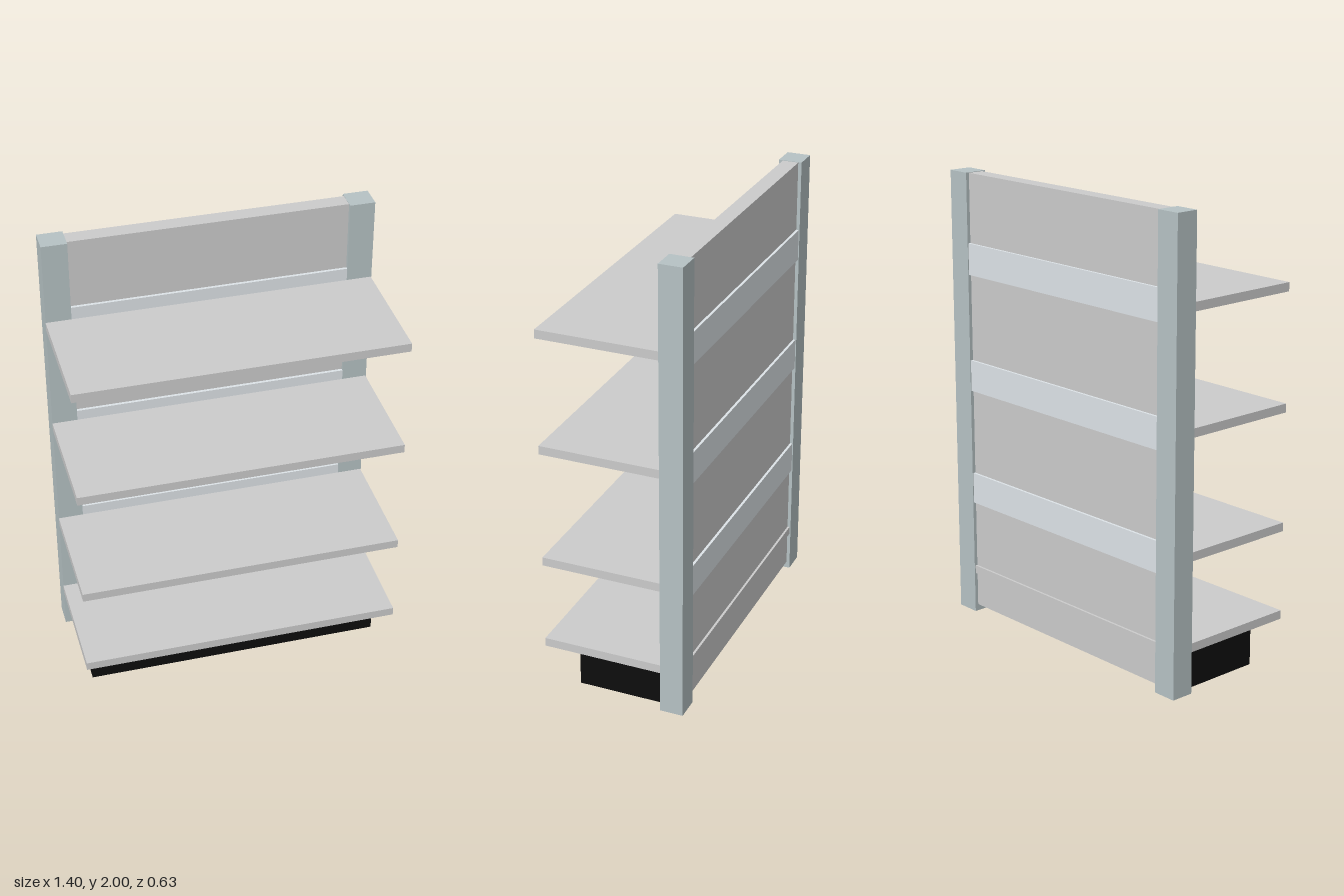
import * as THREE from 'three';

const material = (color) => new THREE.MeshStandardMaterial({ color, flatShading: true });

export function createModel() {
  const group = new THREE.Group();
  const grey = material(0xcccccc);
  const postPaint = material(0xb6c2c4);
  const railPaint = material(0xdde3e7);
  const black = material(0x0d0d0d);

  // Box given by its lower and upper limits on each axis
  function box(name, mat, [x0, x1], [y0, y1], [z0, z1]) {
    const mesh = new THREE.Mesh(new THREE.BoxGeometry(x1 - x0, y1 - y0, z1 - z0), mat);
    mesh.position.set((x0 + x1) / 2, (y0 + y1) / 2, (z0 + z1) / 2);
    mesh.name = name;
    group.add(mesh);
  }

  // Uprights
  box('leftPost', postPaint, [0.592, 0.7], [0, 2], [-0.315, -0.213]);
  box('rightPost', postPaint, [-0.7, -0.592], [0, 2], [-0.315, -0.213]);

  // Back panel between the uprights
  box('backPanel', grey, [-0.592, 0.592], [0.03, 1.998], [-0.3, -0.23]);

  // Cross rails, standing slightly proud of the panel on both sides
  for (const y of [0.52, 1.038, 1.557]) {
    box('crossRail', railPaint, [-0.592, 0.592], [y, y + 0.138], [-0.311, -0.217]);
  }

  // Narrow strip level with the lowest shelf
  box('bottomStrip', grey, [-0.592, 0.592], [0.183, 0.22], [-0.31, -0.217]);

  // Shelves
  for (const y of [0.183, 0.577, 1.095, 1.604]) {
    box('shelf', grey, [-0.7, 0.697], [y, y + 0.038], [-0.213, 0.315]);
  }

  // Plinth under the lowest shelf
  box('plinth', black, [-0.655, 0.647], [0, 0.178], [-0.213, 0.178]);

  return group;
}
